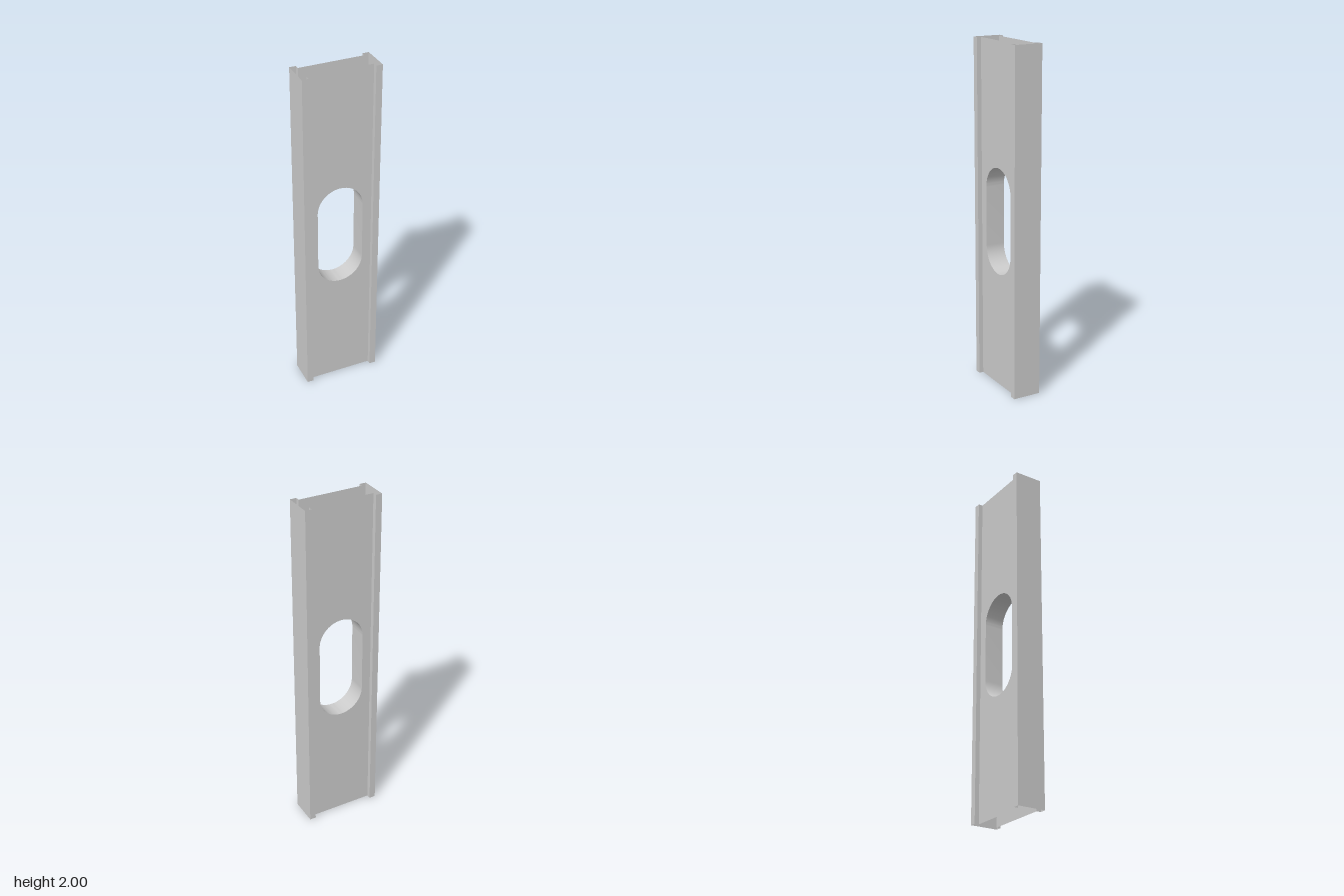
import * as THREE from 'three';
import { toCreasedNormals } from 'three/addons/utils/BufferGeometryUtils.js';

const HEIGHT = 2, HALF_W = 0.225, HALF_D = 0.083; // overall shell
const PANEL_X = 0.188, PANEL_Z = 0.057;           // recessed panels
const HOLE_R = 0.136, HOLE_LOW = 0.815, HOLE_HIGH = 1.162;

const material = new THREE.MeshStandardMaterial({ color: 0xcccccc, side: THREE.DoubleSide });

// Sweep a line of points along one straight vector into an open thin sheet.
function sweep(points, offset) {
  const pos = [];
  for (let i = 0; i < points.length - 1; i++) {
    const a = points[i], b = points[i + 1];
    const c = b.clone().add(offset), d = a.clone().add(offset);
    for (const p of [a, b, c, a, c, d]) pos.push(p.x, p.y, p.z);
  }
  const geometry = new THREE.BufferGeometry();
  geometry.setAttribute('position', new THREE.Float32BufferAttribute(pos, 3));
  return toCreasedNormals(geometry, Math.PI / 6);
}

export function createModel() {
  const group = new THREE.Group();
  const add = (name, geometry) => {
    const mesh = new THREE.Mesh(geometry, material);
    mesh.name = name;
    group.add(mesh);
    return mesh;
  };

  // Slot outline, counterclockwise
  const slot = new THREE.Path();
  slot.absarc(0, HOLE_HIGH, HOLE_R, 0, Math.PI);
  slot.absarc(0, HOLE_LOW, HOLE_R, Math.PI, Math.PI * 2);
  slot.closePath();

  // Front and back panels with the slot cut through
  const outline = new THREE.Shape([
    new THREE.Vector2(-PANEL_X, 0), new THREE.Vector2(PANEL_X, 0),
    new THREE.Vector2(PANEL_X, HEIGHT), new THREE.Vector2(-PANEL_X, HEIGHT),
  ]);
  outline.holes.push(slot);
  const panel = new THREE.ShapeGeometry(outline, 24);
  add('frontPanel', panel).position.z = PANEL_Z;
  const back = add('backPanel', panel);
  back.position.z = -PANEL_Z;
  back.rotation.y = Math.PI;

  // Wall of the slot joining both panels
  const rim = slot.getPoints(24).map((p) => new THREE.Vector3(p.x, p.y, PANEL_Z));
  add('slotWall', sweep(rim, new THREE.Vector3(0, 0, -2 * PANEL_Z)));

  // Side rails: channel profiles, open at both ends
  const profile = [
    [PANEL_X, PANEL_Z], [PANEL_X, HALF_D], [HALF_W, HALF_D],
    [HALF_W, -HALF_D], [PANEL_X, -HALF_D], [PANEL_X, -PANEL_Z],
  ].map(([x, z]) => new THREE.Vector3(x, 0, z));
  const rail = sweep(profile, new THREE.Vector3(0, HEIGHT, 0));
  add('leftRail', rail);
  add('rightRail', rail).rotation.y = Math.PI;

  return group;
}
